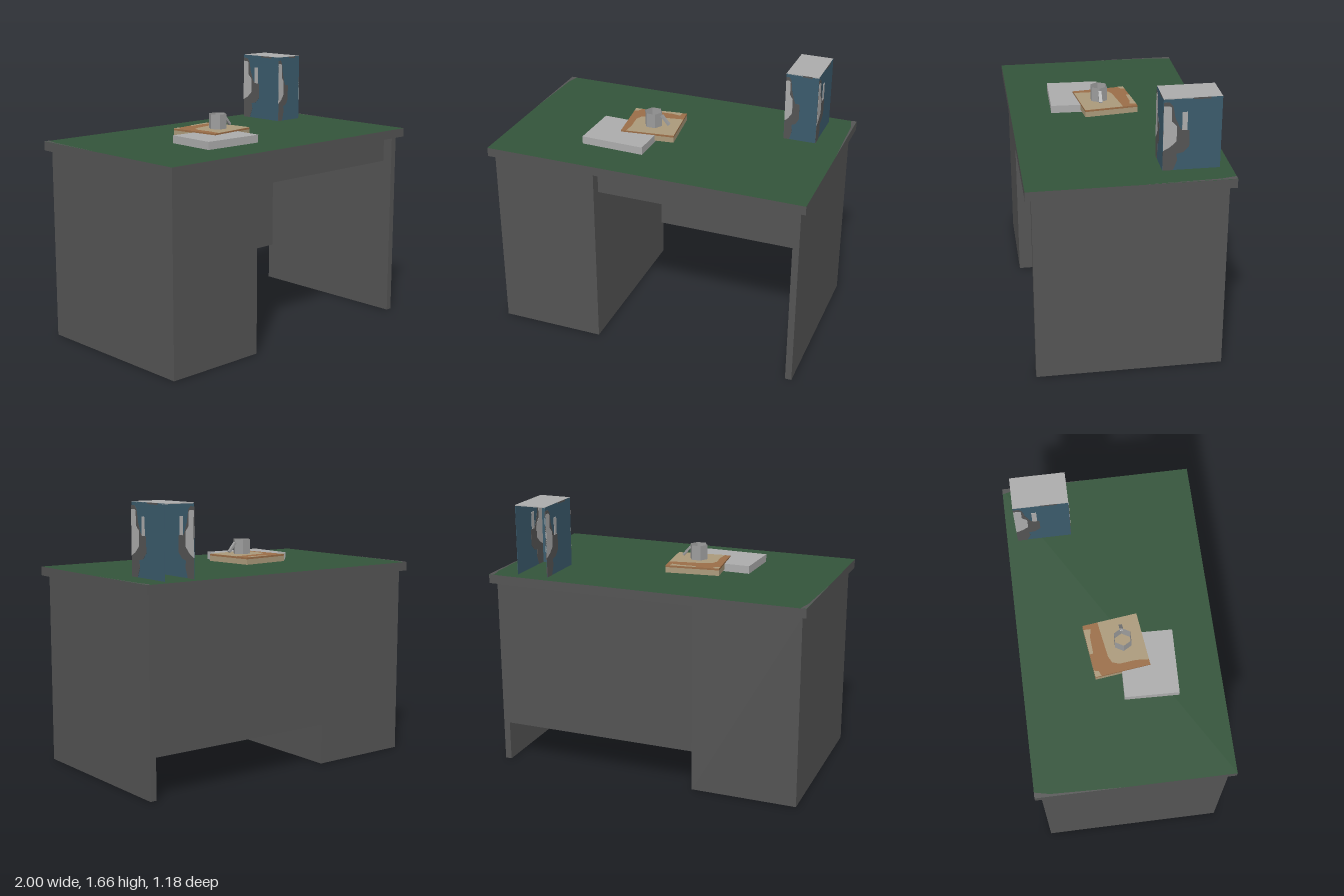
import * as THREE from 'three';

const mat = (name, color, side = THREE.FrontSide) => {
  const m = new THREE.MeshStandardMaterial({ color, side });
  m.name = name;
  return m;
};

export function createModel() {
  const grey = mat('dark grey', 0x545454, THREE.DoubleSide);
  const green = mat('felt green', 0x33543a);
  const blue = mat('slate blue', 0x3b5b6c, THREE.DoubleSide);
  const light = mat('light grey', 0xacacac, THREE.DoubleSide);
  const steel = mat('mug grey', 0x9c9c9c, THREE.DoubleSide);
  const tan = mat('tan', 0xab9a7b);
  const brown = mat('brown', 0x9b6e48);

  const model = new THREE.Group();
  model.name = 'desk';
  const add = (name, geo, material, parent = model) => {
    const m = new THREE.Mesh(geo, material);
    m.name = name;
    parent.add(m);
    return m;
  };
  // Box given by its two opposite corners
  const box = (name, a, b, material, parent) => {
    const s = b.map((v, i) => v - a[i]);
    const m = add(name, new THREE.BoxGeometry(...s), material, parent);
    m.position.set(...a.map((v, i) => (v + b[i]) / 2));
    return m;
  };
  const shape = (pts, w = 1, h = 1) =>
    new THREE.Shape(pts.map(([u, v]) => new THREE.Vector2(u * w, v * h)));
  // Thin plate centred on its own plane
  const plate = (pts, w, h, t) =>
    new THREE.ExtrudeGeometry(shape(pts, w, h), { depth: t, bevelEnabled: false }).translate(0, 0, -t / 2);

  // Desk body
  const [, , top] = [0, 1, 2].map(() =>
    grey);
  box('deskTop', [-1, 1.175, -0.59], [1, 1.23, 0.59], [grey, grey, green, grey, grey, grey]);
  box('sidePanel', [0.925, 0, -0.555], [0.965, 1.175, 0.555], top);
  box('backPanel', [-0.315, 0.25, -0.555], [0.925, 1.175, -0.52], grey);
  box('drawer', [-0.315, 1.01, -0.52], [0.925, 1.16, 0.49], grey);

  // Pedestal, open underneath (the -y face is removed)
  const pedestal = box('pedestal', [-0.97, 0, -0.555], [-0.315, 1.175, 0.555], grey);
  const index = Array.from(pedestal.geometry.index.array);
  index.splice(18, 6);
  pedestal.geometry.setIndex(index);
  pedestal.geometry.clearGroups();

  // Worn slivers along the two ends of the top
  for (const s of [-1, 1]) {
    const sliver = add('wornEdge', new THREE.ShapeGeometry(
      shape([[s, 0.59], [s * 0.965, 0.59], [s * 0.985, 0.5], [s, 0.06]])), grey);
    sliver.rotation.x = -Math.PI / 2;
    sliver.position.y = 1.2315;
  }

  // Upright case: three printed walls and a lid, open at the back and below
  const H = 0.43;
  const square = [[0, 0], [1, 0], [1, 1], [0, 1]];
  const darkPatch = [[0, 0], [0.18, 0], [0.25, 0.14], [0.23, 0.23], [0.35, 0.25], [0.45, 0.33],
    [0.45, 0.55], [0.41, 0.56], [0.32, 0.56], [0.28, 0.6], [0.2, 0.74], [0.16, 0.9], [0.1, 0.95], [0, 0.95]];
  const lightPatch = [[0, 0.28], [0.12, 0.33], [0.23, 0.41], [0.23, 0.62], [0.14, 0.69],
    [0.14, 0.88], [0.1, 0.9], [0, 0.9]];
  const slot = [[0.32, 0.56], [0.41, 0.56], [0.41, 0.81], [0.32, 0.81]];
  const topMark = [[0.5, 0.98], [0.8, 0.975], [0.8, 1], [0.5, 1]];
  const upright = new THREE.Group();
  upright.name = 'uprightCase';
  model.add(upright);
  const walls = [
    ['frontWall', 0.2, 0.635, -0.195, 0],
    ['leftWall', 0.33, 0.835, -0.195, Math.PI / 2],
    ['rightWall', 0.33, 0.635, -0.525, -Math.PI / 2],
  ];
  for (const [name, w, x, z, turn] of walls) {
    const wall = new THREE.Group();
    wall.name = name;
    wall.position.set(x, 1.23, z);
    wall.rotation.y = turn;
    upright.add(wall);
    add('panel', plate(square, w, H, 0.002), blue, wall);
    add('darkPatch', plate(darkPatch, w, H, 0.005), grey, wall);
    add('topMark', plate(topMark, w, H, 0.005), grey, wall);
    add('lightPatch', plate(lightPatch, w, H, 0.008), light, wall);
    if (turn) add('slot', plate(slot, w, H, 0.008), light, wall);
  }
  box('lid', [0.634, 1.656, -0.525], [0.836, 1.661, -0.194], [light, light, light, grey, light, light], upright);

  // Paper stack
  const stack = box('paperStack', [-0.482, 1.23, 0.005], [-0.085, 1.278, 0.33], light);
  stack.rotation.y = -0.03;

  // Book lying over the stack
  const book = new THREE.Group();
  book.name = 'book';
  book.position.set(-0.15, 0, -0.01);
  book.rotation.y = 0.12;
  model.add(book);
  const r = 0.167;
  box('pages', [-r, 1.242, -r], [r, 1.276, r], tan, book);
  box('cover', [-r, 1.276, -r], [r, 1.287, r], brown, book);
  const labels = [
    [[-0.135, -r], [r, -r], [r, 0.075], [-0.06, 0.065], [-0.1, 0.05], [-0.12, 0.01], [-0.12, -0.09]],
    [[-r, r], [-r, 0.13], [-0.135, 0.14], [-0.125, r]],
    [[-0.02, r], [-0.02, 0.145], [0.08, 0.14], [0.135, 0.125], [0.14, r]],
  ];
  for (const pts of labels) {
    const label = add('coverPatch', new THREE.ShapeGeometry(shape(pts)), tan, book);
    label.rotation.x = -Math.PI / 2;
    label.position.y = 1.2885;
  }

  // Six-sided open mug with a slanted handle
  const mug = new THREE.Group();
  mug.name = 'mug';
  mug.position.set(-0.138, 1.287, 0.03);
  model.add(mug);
  const cup = new THREE.CylinderGeometry(0.056, 0.056, 0.093, 6, 1, true, Math.PI / 2).toNonIndexed();
  cup.computeVertexNormals();
  add('cup', cup.translate(0, 0.0465, 0), steel, mug);
  const handle = add('handle', new THREE.BoxGeometry(0.075, 0.014, 0.02), steel, mug);
  handle.position.set(0.078, 0.045, 0);
  handle.rotation.z = -0.87;

  return model;
}
